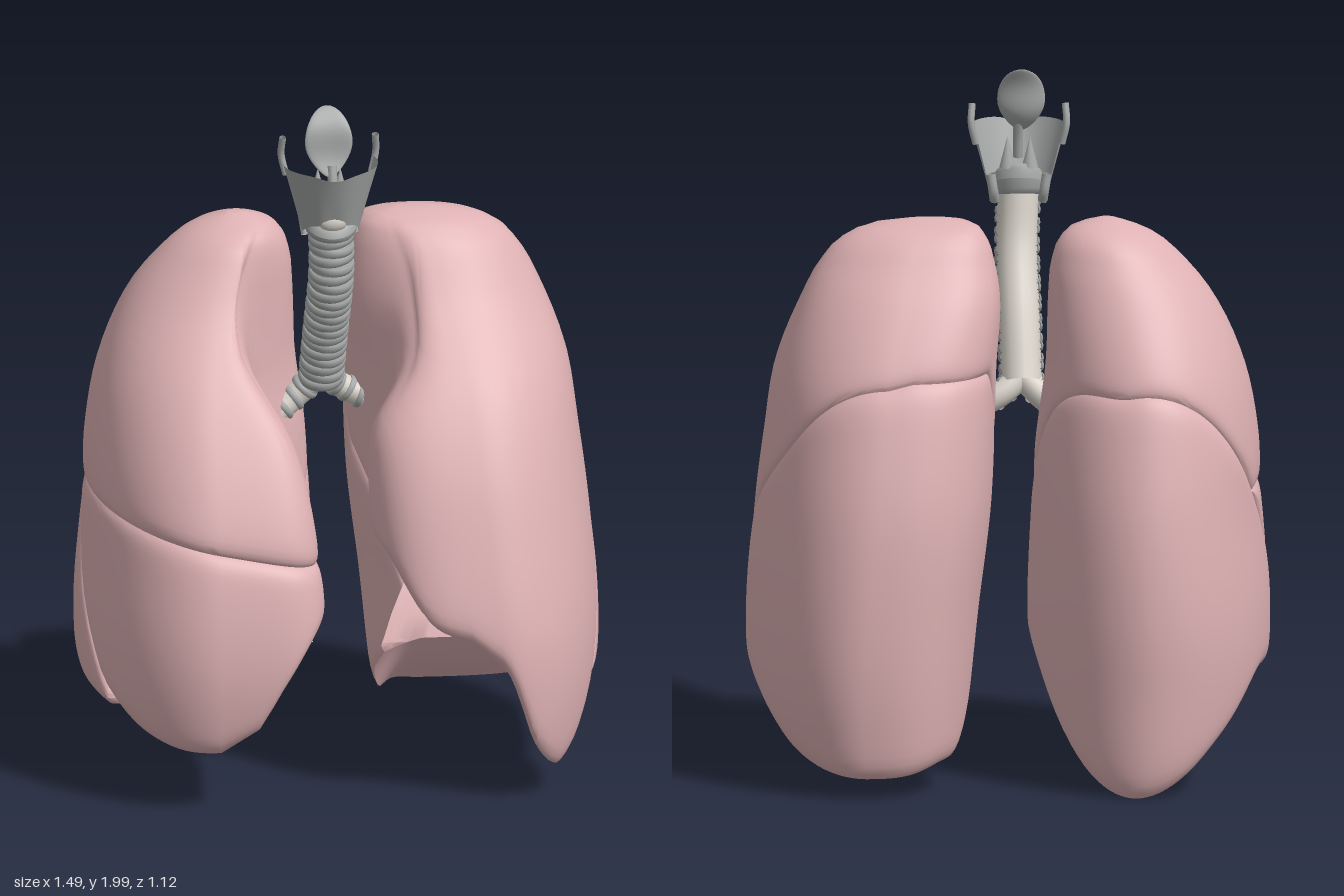
import * as THREE from 'three';
import { toCreasedNormals } from 'three/addons/utils/BufferGeometryUtils.js';

const { smoothstep, lerp } = THREE.MathUtils;
const material = (color) => new THREE.MeshStandardMaterial({ color, side: THREE.DoubleSide });
const tissue = material(0xdfb2b4), cartilage = material(0xa6a8a8), membrane = material(0xd9d3ca);

// Smooth lookup through rows of [key, value, value, ...]
function table(rows) {
  const size = rows[0].length - 1;
  const f = new THREE.CubicInterpolant(rows.map(r => r[0]), rows.flatMap(r => r.slice(1)), size, new Array(size));
  return (t) => f.evaluate(t);
}
const curve1 = (rows) => { const f = table(rows); return (t) => f(t)[0]; };

// Lungs: rows by height of medial x, lateral x, front z, back z; then the medial
// corner roundness (front, back) and the hollow around the root (depth, z, front and back spread)
const leftLung = {
  rows: table([
    [0, .13, .68, .52, -.5], [.1, .12, .7, .54, -.515], [.3, .1, .735, .56, -.545], [.5, .08, .74, .56, -.555],
    [.8, .045, .715, .49, -.54], [1, .035, .69, .42, -.5], [1.2, .03, .66, .31, -.44], [1.4, .02, .585, .14, -.34],
    [1.5, .035, .53, .08, -.27], [1.57, .06, .46, .03, -.22], [1.605, .1, .37, -.02, -.17], [1.62, .18, .26, -.09, -.11]]),
  front: 4, back: 2.8, depth: .19, rootZ: .09, frontSpread: .11, backSpread: .12,
};
const rightLung = {
  rows: table([
    [0, -.12, -.62, .4, -.5], [.1, -.08, -.68, .48, -.52], [.3, -.045, -.735, .54, -.54], [.5, -.04, -.745, .555, -.555],
    [.8, -.055, -.72, .5, -.54], [1, -.07, -.71, .42, -.5], [1.2, -.1, -.67, .3, -.44], [1.4, -.11, -.58, .14, -.34],
    [1.5, -.12, -.5, .08, -.28], [1.57, -.15, -.42, .03, -.23], [1.6, -.19, -.36, -.03, -.18], [1.62, -.26, -.3, -.09, -.11]]),
  front: 5, back: 1.9, depth: .27, rootZ: .08, frontSpread: .22, backSpread: .1,
};

// Point [x, z] on a lung outline
function outline(lung, angle, y, frontLimit) {
  const [xm, xl, zf, zb] = lung.rows(y);
  const c = Math.cos(angle), s = Math.sin(angle);
  const high = smoothstep(y, 1.05, 1.3);
  const n = c > 0 ? 1.97 : s > 0 ? lerp(lung.front, 2.8, high) : lung.back;
  let x = (xm + xl) / 2 + (xl - xm) / 2 * Math.sign(c) * Math.abs(c) ** (2 / n);
  const z = (zf + zb) / 2 + (zf - zb) / 2 * Math.sign(s) * Math.abs(s) ** (2 / n);
  const spread = z > lung.rootZ ? lerp(lung.frontSpread, .23, high) : lung.backSpread;
  if (c < 0) x += (xl - xm) * lung.depth * Math.min(1, -c * 1.6) * Math.exp(-(((z - lung.rootZ) / spread) ** 2));
  return [x, Math.min(z, frontLimit(x))];
}

// Lobe: lung outline between two height fields, closed by caps that follow them
function lobe(name, lung, lower, upper, frontLimit = () => 9) {
  const cols = 96, walls = 26, caps = 10;
  const side = Math.sign(lung.rows(.8)[1]);
  const solve = (angle, field) => {
    let lo = -.05, hi = 1.62;
    for (let i = 0; i < 26; i++) {
      const y = (lo + hi) / 2;
      if (y < field(...outline(lung, angle, y, frontLimit))) lo = y; else hi = y;
    }
    return (lo + hi) / 2;
  };
  const rows = Array.from({ length: walls + 1 }, () => []);
  for (let j = 0; j < cols; j++) {
    const angle = j / cols * Math.PI * 2;
    const top = solve(angle, upper), bottom = Math.min(solve(angle, lower), top);
    for (let i = 0; i <= walls; i++) {
      const y = bottom + (top - bottom) * (.5 - .5 * Math.cos(Math.PI * i / walls));
      const [x, z] = outline(lung, angle, y, frontLimit);
      const [xm, xl, zf, zb] = lung.rows(y);
      const k = .04 * Math.exp(-Math.min(y - bottom, top - y) / .018);   // rounded rim
      rows[i].push([x + ((xm + xl) / 2 - x) * k, y, z + ((zf + zb) / 2 - z) * k]);
    }
  }
  const cap = (rim, field) => {
    const cx = rim.reduce((a, p) => a + p[0], 0) / cols, cz = rim.reduce((a, p) => a + p[2], 0) / cols;
    return Array.from({ length: caps }, (_, i) => rim.map(p => {
      const x = cx + (p[0] - cx) * i / caps, z = cz + (p[2] - cz) * i / caps;
      return [x, field(x, z), z];
    }));
  };
  const all = [...cap(rows[0], lower), ...rows, ...cap(rows[walls], upper).reverse()];
  const index = [];
  for (let i = 0; i < all.length - 1; i++) for (let j = 0; j < cols; j++) {
    const a = i * cols + j, b = i * cols + (j + 1) % cols, c = a + cols, d = b + cols;
    if (side > 0) index.push(a, c, b, b, c, d); else index.push(a, b, c, b, d, c);
  }
  const geometry = new THREE.BufferGeometry();
  geometry.setAttribute('position', new THREE.Float32BufferAttribute(all.flat(2), 3));
  geometry.setIndex(index);
  return mesh(name, toCreasedNormals(geometry, .75), tissue);
}

function mesh(name, geometry, mat, x = 0, y = 0, z = 0) {
  const m = new THREE.Mesh(geometry, mat);
  m.name = name;
  m.position.set(x, y, z);
  return m;
}

const spline = (points) => new THREE.CatmullRomCurve3(points.map(p => new THREE.Vector3(...p)));

// Airway: pale tube with open cartilage rings around its front
function airway(name, points, radius, count) {
  const group = new THREE.Group();
  group.name = name;
  const path = spline(points);
  group.add(mesh('airwayWall', new THREE.TubeGeometry(path, 32, radius, 18), membrane));
  const arc = 4, ring = new THREE.TorusGeometry(radius, radius * .14, 7, 22, arc).rotateZ(Math.PI / 2 - arc / 2);
  for (let i = 0; i < count; i++) {
    const t = (i + .5) / count, axis = path.getTangentAt(t).negate();
    const front = new THREE.Vector3(0, 0, 1).addScaledVector(axis, -axis.z).normalize();
    const m = mesh('cartilageRing', ring, cartilage);
    m.quaternion.setFromRotationMatrix(new THREE.Matrix4().makeBasis(new THREE.Vector3().crossVectors(front, axis), front, axis));
    m.position.copy(path.getPointAt(t));
    m.rotateY(i % 2 ? .08 : -.08);
    m.scale.z = 1.9;
    group.add(m);
  }
  return group;
}

function larynx() {
  const group = new THREE.Group();
  group.name = 'larynx';
  const cx = -.035;
  // Shield plate: open flared cylinder with a notched top and arched lower edge
  const shield = new THREE.CylinderGeometry(.135, .08, .17, 32, 8, true, -1.95, 3.9);
  const p = shield.attributes.position;
  for (let i = 0; i < p.count; i++) {
    const a = Math.atan2(p.getX(i), p.getZ(i)), v = p.getY(i) / .17 + .5;
    const dip = Math.exp(-((a / .35) ** 2));
    p.setY(i, p.getY(i) - v * .015 * dip + (1 - v) * (.02 * dip - .04 * Math.max(0, Math.abs(a) - .8)));
  }
  shield.computeVertexNormals();
  group.add(mesh('shieldCartilage', shield, cartilage, cx, 1.752, .15));
  // Horns above and below the shield's rear edges
  for (const s of [-1, 1]) {
    const horn = (pts, r) => new THREE.TubeGeometry(spline(pts.map(([x, y, z]) => [cx + s * x, y, z])), 12, r, 8);
    group.add(mesh('upperHorn', horn([[.122, 1.79, .105], [.135, 1.85, .1], [.132, 1.905, .115]], .01), cartilage));
    group.add(mesh('lowerHorn', horn([[.08, 1.7, .12], [.072, 1.65, .12], [.068, 1.62, .135]], .014), cartilage));
    group.add(mesh('rearCartilage', new THREE.ConeGeometry(.024, .09, 10), cartilage, cx + s * .032, 1.765, .115));
  }
  // Signet ring, taller at the back
  const ring = new THREE.TorusGeometry(.06, .016, 10, 32).rotateX(Math.PI / 2);
  const q = ring.attributes.position;
  for (let i = 0; i < q.count; i++) q.setY(i, q.getY(i) * (2.1 - q.getZ(i) * 12) - q.getZ(i) * .4);
  ring.computeVertexNormals();
  group.add(mesh('ringCartilage', ring, cartilage, cx, 1.665, .16));
  const ligament = mesh('ligament', new THREE.SphereGeometry(1, 16, 10), membrane, cx, 1.68, .213);
  ligament.scale.set(.042, .03, .022);
  group.add(ligament);
  // Leaf-shaped flap on a stalk, bent in a gentle S
  const leaf = new THREE.SphereGeometry(1, 24, 20);
  const e = leaf.attributes.position;
  for (let i = 0; i < e.count; i++) {
    const x = e.getX(i), y = e.getY(i);
    const width = y < 0 ? 1 - .35 * y * y : 1;
    e.setXYZ(i, x * .068 * width, y * .095, e.getZ(i) * .014 - y * .04 + Math.sin(y * 3) * .012 + x * x * .012);
  }
  leaf.computeVertexNormals();
  group.add(mesh('flap', leaf, cartilage, cx - .008, 1.905, .165));
  const stalk = spline([[cx, 1.84, .19], [cx, 1.79, .205], [cx, 1.73, .215]]);
  group.add(mesh('flapStalk', new THREE.TubeGeometry(stalk, 10, .014, 8), cartilage));
  return group;
}

export function createModel() {
  const model = new THREE.Group();
  model.name = 'respiratoryOrgans';

  // Height fields that separate the lobes; the slanted ones stay high at the back of the medial side
  const slanted = (rows) => {
    const byZ = curve1(rows);
    return (x, z) => byZ(Math.max(-.46,
      z - .2 * (1 - smoothstep(Math.abs(x), .03, .35)) * smoothstep(-z, -.05, .25)));
  };
  const edge = curve1([[-.52, .05], [-.35, .12], [-.2, .23], [-.05, .29], [.1, .29], [.26, .28]]);
  const domed = (x, z, center) => Math.max(0, 1 - ((Math.abs(x) - center) / .36) ** 2) * smoothstep(z, -.5, 0);
  const lowerFront = (x) => .2 + .07 * smoothstep(Math.abs(x), .4, .65);
  const apex = () => 1.62;

  // Left lung: two lobes, the upper one ending in a tongue
  const slantLeft = slanted([[-.46, 1.2], [-.3, .99], [-.1, .83], [0, .76], [.1, .62], [.2, .42], [.27, .28], [.35, .15], [.43, .1], [.6, .05]]);
  const notchLeft = curve1([[.05, .78], [.1, .73], [.2, .57], [.35, .5], [.44, .4], [.51, .2], [.6, .1], [.66, .13], [.72, .24]]);
  const medialDip = (x, z) => .12 * (1 - smoothstep(x, .1, .26)) * smoothstep(-z, -.12, .1) * smoothstep(z, -.5, -.25);
  const baseLeft = (x, z) => Math.min(edge(z) + .02 + .13 * domed(x, z, .33) - medialDip(x, z), slantLeft(x, z));
  model.add(lobe('leftUpperLobe', leftLung, (x, z) => Math.max(slantLeft(x, z), notchLeft(x)), apex));
  model.add(lobe('leftLowerLobe', leftLung, baseLeft, slantLeft, lowerFront));

  // Right lung: three lobes
  const slantRight = slanted([[-.46, 1.17], [-.3, .96], [-.1, .75], [0, .65], [.1, .54], [.2, .42], [.27, .32], [.38, .14], [.6, .05]]);
  const level = (x) => .71 - .19 * x;
  const notchRight = curve1([[-.75, .42], [-.66, .29], [-.6, .24], [-.45, .2], [-.3, .24], [-.2, .4], [-.08, .57], [-.03, .6]]);
  const baseRight = (x, z) => Math.min(edge(z) - .045 * smoothstep(-z, -.1, .3) + .24 * domed(x, z, .26)
    + 1.6 * (x + .33) ** 2 * smoothstep(-z, -.1, .45), slantRight(x, z));
  model.add(lobe('rightUpperLobe', rightLung, (x, z) => Math.max(slantRight(x, z), level(x)), apex));
  model.add(lobe('rightMiddleLobe', rightLung,
    (x, z) => Math.min(Math.max(slantRight(x, z), notchRight(x)), level(x)), level));
  model.add(lobe('rightLowerLobe', rightLung, baseRight, slantRight, lowerFront));

  // Windpipe, main branches and smaller branches entering the lungs
  model.add(airway('windpipe', [[-.035, 1.66, .16], [-.03, 1.5, .125], [-.035, 1.3, .03], [-.04, 1.13, -.04]], .058, 20));
  model.add(airway('leftBranch', [[-.04, 1.15, -.035], [.02, 1.1, -.06], [.12, 1.05, -.06], [.24, 1, -.04]], .036, 8));
  model.add(airway('rightBranch', [[-.04, 1.15, -.035], [-.1, 1.09, -.05], [-.18, 1.03, -.03], [-.28, .97, 0]], .038, 7));
  for (const s of [-1, 1]) {
    const x = (v) => -.02 + s * v;
    model.add(airway('upperTwig', [[x(.15), 1.04, -.04], [x(.2), 1.07, .02], [x(.3), 1.12, .05]], .022, 5));
    model.add(airway('lowerTwig', [[x(.15), 1.04, -.04], [x(.19), .93, .03], [x(.3), .82, .08]], .022, 6));
  }
  model.add(larynx());
  return model;
}
